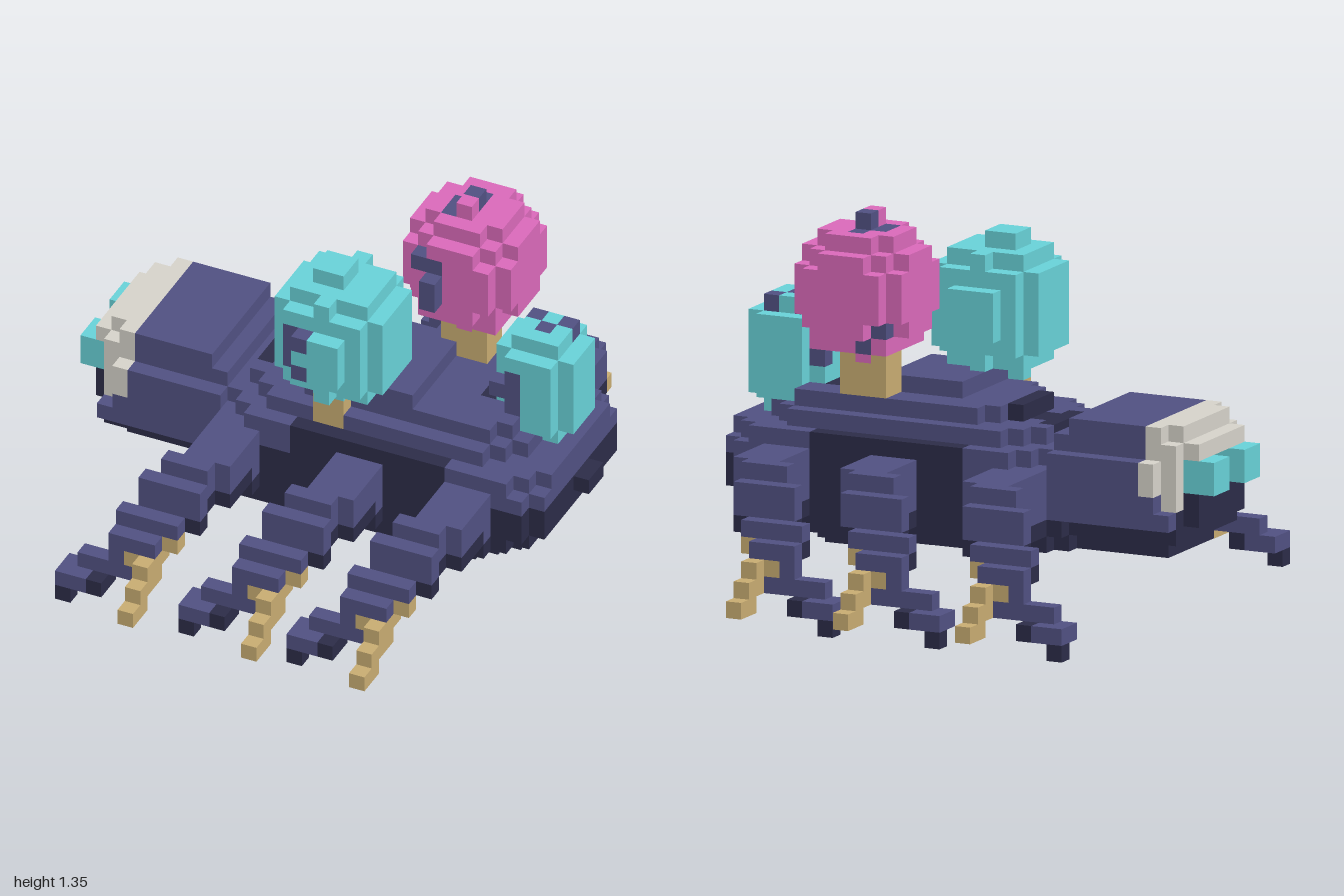
import * as THREE from 'three';

const U = 1 / 17; // edge of one cube

const mat = (name, color) => Object.assign(new THREE.MeshStandardMaterial({ color }), { name });
const MATS = {
  hide: mat('purple hide', 0x515182),
  dark: mat('dark navy', 0x2c2c48),
  teal: mat('teal', 0x68d2d8),
  pink: mat('pink', 0xda69ba),
  tan: mat('tan', 0xc8ac72),
  grey: mat('pale grey', 0xd6d3ca),
};

// Six cube faces: axis direction and two in-plane axes with d = a x b
const FACES = [
  [[1, 0, 0], [0, 1, 0], [0, 0, 1]], [[-1, 0, 0], [0, 0, 1], [0, 1, 0]],
  [[0, 1, 0], [0, 0, 1], [1, 0, 0]], [[0, -1, 0], [1, 0, 0], [0, 0, 1]],
  [[0, 0, 1], [1, 0, 0], [0, 1, 0]], [[0, 0, -1], [0, 1, 0], [1, 0, 0]],
];

export function createModel() {
  const cells = new Map();
  const key = (i, j, k) => `${i},${j},${k}`;

  // Fill an inclusive block of cubes
  function fill(part, color, i0, i1, j0, j1, k0, k1) {
    for (let i = i0; i <= i1; i++)
      for (let j = j0; j <= j1; j++)
        for (let k = k0; k <= k1; k++) cells.set(key(i, j, k), { part, color, p: [i, j, k] });
  }
  // Same block on both sides of the body's centre plane
  function both(part, color, i0, i1, j0, j1, d0, d1) {
    fill(part, color, i0, i1, j0, j1, d0, d1);
    fill(part, color, i0, i1, j0, j1, -1 - d1, -1 - d0);
  }
  // Layer centred on z = 0, narrowing at both ends
  function layer(part, color, j, i0, i1, half, taper) {
    for (let i = i0; i <= i1; i++) {
      const end = Math.min(i - i0, i1 - i);
      const h = Math.max(1, half - Math.max(0, taper - end));
      fill(part, color, i, i, j, j, -h, h - 1);
    }
  }
  // Stepped, slightly squared ball about a centre in cube units
  function ball(part, color, c, r) {
    const lo = c.map((v, n) => Math.floor(v - r[n])), hi = c.map((v, n) => Math.ceil(v + r[n]));
    for (let i = lo[0]; i <= hi[0]; i++)
      for (let j = lo[1]; j <= hi[1]; j++)
        for (let k = lo[2]; k <= hi[2]; k++) {
          const q = [i, j, k].reduce((s, v, n) => s + Math.abs((v + 0.5 - c[n]) / r[n]) ** 2.4, 0);
          if (q <= 1) fill(part, color, i, i, j, j, k, k);
        }
  }

  // Body, dark below and purple above: [level, first, last, half width, taper]
  [[2, 23, 24, 1, 0], [3, 19, 26, 4, 2], [4, 9, 28, 6, 2], [5, 9, 29, 6, 1], [6, 9, 30, 6, 1],
    [7, 9, 30, 6, 1], [8, 9, 30, 6, 1], [9, 10, 30, 6, 2], [10, 11, 28, 5, 2], [11, 13, 28, 4, 2]]
    .forEach(([j, a, b, h, t]) => layer('body', j < 8 ? 'dark' : 'hide', j, a, b, h, t));
  fill('body', 'hide', 17, 21, 12, 12, -2, 3);
  both('body', 'dark', 15, 24, 8, 9, 5, 5);
  fill('tail', 'dark', 31, 31, 7, 7, -1, 0);

  // Head
  [[4, 3, 3], [5, 2, 4], [6, 2, 5], [7, 3, 5], [8, 3, 5], [9, 3, 5], [10, 3, 4], [11, 3, 4]]
    .forEach(([j, a, h]) => layer('head', j < 6 ? 'dark' : 'hide', j, a, j === 11 ? 8 : 9, h, 0));
  fill('face', 'dark', 2, 2, 5, 9, -4, 3);
  fill('face', 'dark', 1, 1, 6, 8, -3, 2);
  fill('faceCollar', 'grey', 2, 3, 10, 10, -4, 3);
  fill('faceCollar', 'grey', 3, 3, 11, 11, -4, 3);
  fill('faceCollar', 'grey', 2, 2, 11, 11, -3, 2);
  fill('faceCollar', 'grey', 1, 1, 10, 10, -3, 2);
  both('faceCollar', 'grey', 2, 2, 7, 10, 3, 3);
  both('faceCollar', 'grey', 3, 3, 8, 9, 4, 4);
  both('eye', 'teal', 0, 1, 8, 9, 1, 2);

  // Dark marks along the back
  fill('backMarks', 'dark', 11, 11, 10, 10, -2, 1);
  fill('backMarks', 'dark', 13, 13, 11, 11, -2, 1);
  fill('backMarks', 'dark', 12, 12, 10, 10, -1, 0);
  fill('backMarks', 'dark', 25, 25, 11, 11, -2, 0);

  // Three pairs of legs: [first, last, bottom, top, inner, outer]
  for (const o of [0, 8, 15]) {
    [[10, 12, 5, 8, 5, 6], [10, 12, 6, 8, 7, 9], [9, 11, 6, 8, 10, 10],
      [8, 11, 5, 7, 11, 11], [7, 10, 4, 5, 12, 12], [7, 9, 3, 4, 13, 13], [5, 8, 2, 2, 13, 13],
      [4, 6, 1, 1, 13, 14]].forEach(([a, b, y0, y1, d0, d1]) => {
      both('leg', 'hide', a + o, b + o, y0, y1, d0, d1);
      if (y0 > 3) both('leg', 'dark', a + o, b + o, y0, y0, d0, d1);
    });
    both('toe', 'dark', 4 + o, 4 + o, 0, 0, 14, 14);
    both('toe', 'dark', 6 + o, 6 + o, 1, 1, 13, 14);
    // Stepped claw
    both('claw', 'tan', 8 + o, 10 + o, 4, 4, 12, 12);
    both('claw', 'tan', 8 + o, 9 + o, 3, 3, 12, 13);
    both('claw', 'tan', 9 + o, 9 + o, 2, 2, 13, 13);
    both('claw', 'tan', 9 + o, 9 + o, 2, 3, 14, 14);
    both('claw', 'tan', 9 + o, 9 + o, 1, 2, 15, 15);
    both('claw', 'tan', 9 + o, 9 + o, 1, 1, 16, 16);
  }

  // Front teal bulb with stem and hooked mark
  fill('frontStem', 'tan', 16, 17, 10, 11, 4, 4);
  ball('frontBulb', 'teal', [17.5, 16.5, 4], [3.6, 3.8, 3.7]);
  fill('frontBulb', 'teal', 16, 17, 20, 20, 3, 4);
  fill('frontBulb', 'teal', 16, 17, 12, 12, 4, 4);
  fill('frontBulbMark', 'hide', 15, 15, 15, 17, 6, 6);
  fill('frontBulbMark', 'hide', 16, 16, 15, 15, 7, 7);
  fill('frontBulbMark', 'hide', 16, 16, 17, 17, 7, 7);

  // Tall pink bulb with stem and marks
  fill('tallStem', 'tan', 21, 23, 12, 14, -4, -3);
  ball('tallBulb', 'pink', [22.5, 18.3, -3.5], [3.6, 3.8, 3.6]);
  fill('tallBulb', 'pink', 22, 22, 14, 14, -4, -3);
  fill('tallBulb', 'pink', 22, 22, 22, 22, -4, -3);
  fill('tallBulbMarks', 'hide', 22, 22, 22, 22, -4, -4);
  fill('tallBulbMarks', 'hide', 22, 22, 21, 21, -5, -5);
  fill('tallBulbMarks', 'hide', 21, 21, 21, 21, -4, -3);
  fill('tallBulbMarks', 'hide', 21, 21, 17, 19, -1, -1);
  fill('tallBulbMarks', 'hide', 20, 20, 19, 19, -1, -1);
  fill('tallBulbMarks', 'hide', 21, 21, 17, 18, 0, 0);
  fill('tallBulbMarks', 'hide', 20, 20, 16, 18, -6, -6);
  fill('tallBulbMarks', 'hide', 21, 21, 15, 15, -6, -6);

  // Rear teal bulb with marks
  ball('rearBulb', 'teal', [28.5, 13.5, -0.5], [2.6, 3.6, 2.6]);
  fill('rearBulbMark', 'hide', 27, 27, 12, 14, 1, 1);
  fill('rearBulbMark', 'hide', 26, 26, 13, 13, 0, 1);
  fill('rearBulbMark', 'hide', 26, 26, 13, 14, -2, -2);
  fill('rearBulbMark', 'hide', 28, 28, 16, 16, -1, -1);
  fill('rearBulbMark', 'hide', 27, 27, 16, 16, -2, -2);
  fill('rearBulbMark', 'hide', 29, 29, 16, 16, -2, -2);

  // Skin each part with its exposed cube faces; purple cubes have dark undersides
  const skins = new Map();
  for (const { part, color, p } of cells.values()) {
    for (const [d, a, b] of FACES) {
      if (cells.has(key(p[0] + d[0], p[1] + d[1], p[2] + d[2]))) continue;
      const tone = color === 'hide' && d[1] < 0 ? 'dark' : color;
      const id = `${part}|${tone}`;
      if (!skins.has(id)) skins.set(id, { part, tone, pos: [], nor: [] });
      const s = skins.get(id);
      const corner = (u, v) => p.map((c, n) =>
        (c + 0.5 + d[n] / 2 + a[n] * u + b[n] * v - (n === 0 ? 16 : 0)) * U);
      const q = [corner(-.5, -.5), corner(.5, -.5), corner(.5, .5), corner(-.5, .5)];
      for (const n of [0, 1, 2, 0, 2, 3]) {
        s.pos.push(...q[n]);
        s.nor.push(...d);
      }
    }
  }
  const model = new THREE.Group();
  model.name = 'bulbBackedCreature';
  for (const { part, tone, pos, nor } of skins.values()) {
    const g = new THREE.BufferGeometry();
    g.setAttribute('position', new THREE.Float32BufferAttribute(pos, 3));
    g.setAttribute('normal', new THREE.Float32BufferAttribute(nor, 3));
    const mesh = new THREE.Mesh(g, MATS[tone]);
    mesh.name = part;
    model.add(mesh);
  }
  return model;
}
